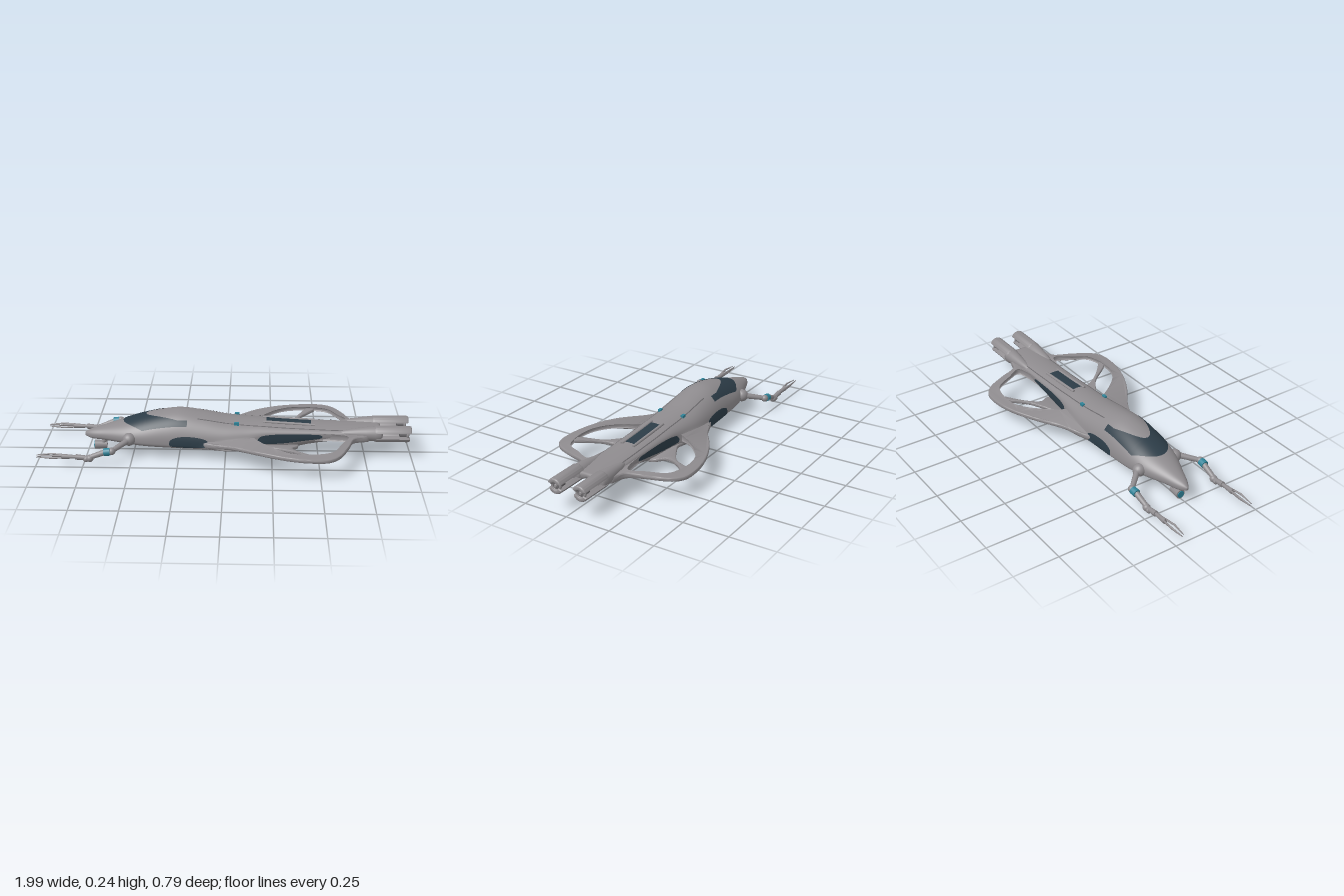
import * as THREE from 'three';
import { mergeVertices, toCreasedNormals } from 'three/addons/utils/BufferGeometryUtils.js';

const paint = (name, color) => {
  const m = new THREE.MeshStandardMaterial({ color, side: THREE.DoubleSide });
  m.name = name;
  return m;
};
const V = (x, y, z) => new THREE.Vector3(x, y, z);
const { smoothstep, clamp } = THREE.MathUtils;

// Hull stations along x: half width, top, widest height, bottom
const STATIONS = [
  [-0.765, 0.008, 0.1, 0.09, 0.08], [-0.74, 0.026, 0.114, 0.09, 0.07], [-0.66, 0.06, 0.14, 0.097, 0.066],
  [-0.53, 0.112, 0.18, 0.1, 0.06], [-0.45, 0.13, 0.205, 0.095, 0.055], [-0.31, 0.138, 0.236, 0.089, 0.048],
  [-0.24, 0.139, 0.242, 0.088, 0.045], [-0.12, 0.14, 0.226, 0.09, 0.04], [0.01, 0.135, 0.202, 0.102, 0.034],
  [0.12, 0.12, 0.191, 0.117, 0.016], [0.2, 0.108, 0.186, 0.13, 0.01], [0.3, 0.1, 0.178, 0.135, 0.02],
  [0.44, 0.095, 0.171, 0.135, 0.058], [0.65, 0.093, 0.162, 0.135, 0.09], [0.78, 0.106, 0.159, 0.135, 0.106],
  [0.83, 0.108, 0.157, 0.135, 0.113],
];
const profile = new THREE.CubicInterpolant(STATIONS.map((s) => s[0]), STATIONS.flatMap((s) => s.slice(1)), 4);
const bell = (x, mid, width) => Math.exp(-(((x - mid) / width) ** 2));

// Point on the hull; angle a runs from the top (0) over the +z flank to the keel (PI)
function hullPoint(x, a, lift = 0) {
  const [w, top, mid, bot] = profile.evaluate(x);
  const c = Math.cos(a), s = Math.sin(a), turn = Math.abs(a > Math.PI ? a - 2 * Math.PI : a);
  // Fairing that spreads the lower flank into the wing root
  const flare = Math.sign(s) * 0.05 * bell(x, 0.03, 0.11) * bell(turn, 1.9, turn > 1.9 ? 0.4 : 0.25);
  if (c >= 0) return V(x, mid + (top - mid + lift) * c, (w + lift) * s + flare);
  const z = (w + lift) * Math.sign(s) * Math.abs(s) ** 0.75;
  const groove = 0.03 * smoothstep(x, 0, 0.16) * (1 - 0.4 * smoothstep(x, 0.5, 0.83)) * bell(z, 0, 0.028);
  return V(x, mid - (mid - bot + lift) * Math.abs(c) ** 0.75 + groove * Math.abs(c), z + flare);
}

function surface(points, index) {
  const g = new THREE.BufferGeometry().setFromPoints(points);
  g.setIndex(index);
  g.computeVertexNormals();
  return g;
}

function hullGeometry() {
  const nx = 110, na = 64, points = [], index = [];
  for (let i = 0; i <= nx; i++) {
    for (let j = 0; j < na; j++) points.push(hullPoint(-0.765 + (1.595 * i) / nx, (j / na) * Math.PI * 2));
  }
  for (let i = 0; i < nx; i++) {
    for (let j = 0; j < na; j++) {
      const a = i * na + j, b = i * na + ((j + 1) % na);
      index.push(a, b, a + na, b, b + na, a + na);
    }
  }
  const nose = points.push(V(-0.768, 0.09, 0)) - 1, tail = points.push(V(0.83, 0.145, 0)) - 1;
  for (let j = 0; j < na; j++) {
    const k = (j + 1) % na;
    index.push(nose, k, j, tail, nx * na + j, nx * na + k);
  }
  return surface(points, index);
}

// Thin plate hugging the hull between two angle limits that vary with x
function patch(x0, x1, from, to, lift = 0.003, nx = 50, na = 12) {
  const points = [], index = [];
  for (let i = 0; i <= nx; i++) {
    const x = x0 + ((x1 - x0) * i) / nx, a0 = from(x), a1 = to(x);
    for (let j = 0; j <= na; j++) points.push(hullPoint(x, a0 + ((a1 - a0) * j) / na, lift));
  }
  for (let i = 0; i < nx; i++) {
    for (let j = 0; j < na; j++) {
      const a = i * (na + 1) + j, b = a + na + 1;
      index.push(a, a + 1, b, a + 1, b + 1, b);
    }
  }
  return surface(points, index);
}
// Hull angle at which the upper skin reaches the given z
const angleAt = (x, z) => Math.asin(Math.min(1, z / profile.evaluate(x)[0]));
const oval = (x, x0, x1) => Math.sqrt(Math.max(0, 1 - ((2 * x - x0 - x1) / (x1 - x0)) ** 2)) ** 0.7;

// Rounded plate from a smooth plan outline of [x, z] points, its height set by a rule
function plateGeometry(outline, windows, height) {
  const loop = (list) => new THREE.CatmullRomCurve3(list.map(([x, z]) => V(x, z, 0)), true, 'centripetal')
    .getPoints(90).slice(0, -1).map((p) => new THREE.Vector2(p.x, p.y));
  const shape = new THREE.Shape(loop(outline));
  shape.holes = windows.map((w) => new THREE.Path(loop(w)));
  const g = new THREE.ExtrudeGeometry(shape, {
    depth: 0.006, bevelEnabled: true, bevelThickness: 0.008, bevelSize: 0.006, bevelOffset: -0.006, bevelSegments: 4,
  });
  g.translate(0, 0, -0.003).rotateX(Math.PI / 2);
  const p = g.attributes.position;
  for (let i = 0; i < p.count; i++) p.setY(i, height(p.getX(i), p.getY(i), p.getZ(i)));
  g.deleteAttribute('normal');
  g.deleteAttribute('uv');
  return toCreasedNormals(mergeVertices(g, 1e-5), 0.7);
}

// Wing frame: droops to the tip, dips at the leading root, thicker underneath near the hull
const wingGeometry = () => plateGeometry(
  [[-0.2, 0.09], [-0.13, 0.137], [-0.05, 0.172], [0.03, 0.21], [0.165, 0.3], [0.3, 0.362], [0.43, 0.391], [0.54, 0.386],
    [0.597, 0.343], [0.65, 0.235], [0.69, 0.135], [0.77, 0.1], [0.75, 0.06], [0.3, 0.06], [-0.1, 0.06]],
  [[[0.15, 0.105], [0.18, 0.175], [0.27, 0.28], [0.35, 0.328], [0.45, 0.338], [0.565, 0.305], [0.62, 0.21], [0.66, 0.12],
    [0.5, 0.085], [0.3, 0.085]]],
  (x, y, z) => {
    const dip = 0.035 * (1 - smoothstep(x, -0.1, 0.35)) * clamp((0.36 - z) / 0.2, 0, 1);
    const thick = y < 0 ? 1 + 1.5 * clamp((0.2 - z) / 0.1, 0, 1) : 1;
    return 0.127 - 0.06 * (z - 0.12) - dip + y * thick;
  },
);

// Low gusset with a strut that rises from the lower flank to the wing tip
const gussetGeometry = () => plateGeometry(
  [[0.08, 0.07], [0.13, 0.125], [0.19, 0.124], [0.25, 0.152], [0.32, 0.192], [0.37, 0.23], [0.455, 0.345], [0.5, 0.345],
    [0.42, 0.262], [0.375, 0.2], [0.36, 0.15], [0.39, 0.1], [0.38, 0.05], [0.2, 0.05]],
  [],
  (x, y, z) => 0.069 + 0.17 * (z - 0.12) + y * 0.9,
);

// Curved blade of an engine pod, bent around the pod's axis
function bladeGeometry(start, end, length) {
  const s = new THREE.Shape();
  s.absarc(0, 0, 0.04, start, end, false);
  s.absarc(0, 0, 0.02, end, start, true);
  const g = new THREE.ExtrudeGeometry(s, {
    depth: length, bevelEnabled: true, bevelThickness: 0.012, bevelSize: 0.006, bevelOffset: -0.004, bevelSegments: 4, curveSegments: 16,
  });
  return toCreasedNormals(g.rotateY(Math.PI / 2), 0.6);
}

export function createModel() {
  const gray = paint('hull gray', 0x8e8b8e);
  const dark = paint('joint gray', 0x676568);
  const glass = paint('dark glass', 0x2c3c47);
  const teal = paint('teal', 0x2f8398);
  const model = new THREE.Group();
  model.name = 'spacecraft';

  const add = (parent, name, geometry, material, x = 0, y = 0, z = 0) => {
    const m = new THREE.Mesh(geometry, material);
    m.name = name;
    m.position.set(x, y, z);
    parent.add(m);
    return m;
  };
  const ball = (parent, name, p, r, material) => add(parent, name, new THREE.SphereGeometry(r, 20, 14), material, ...p);
  // Tapered cylinder from p to q
  const rod = (parent, name, p, q, r0, r1, material) => {
    const a = V(...p), b = V(...q), d = b.clone().sub(a);
    const m = add(parent, name, new THREE.CylinderGeometry(r1, r0, d.length(), 18), material);
    m.position.copy(a).add(b).multiplyScalar(0.5);
    m.quaternion.setFromUnitVectors(V(0, 1, 0), d.normalize());
  };

  add(model, 'hull', hullGeometry(), gray);
  add(model, 'spineVent', patch(0.22, 0.46, (x) => -angleAt(x, 0.028), (x) => angleAt(x, 0.028)), glass);

  // Chin sensor
  rod(model, 'chinMount', [-0.64, 0.08, 0], [-0.68, 0.03, 0], 0.016, 0.014, gray);
  rod(model, 'chinSensor', [-0.65, 0.026, 0], [-0.715, 0.026, 0], 0.02, 0.026, gray);
  rod(model, 'chinLens', [-0.715, 0.026, 0], [-0.719, 0.026, 0], 0.019, 0.019, teal);

  for (const side of [1, -1]) {
    const half = new THREE.Group();
    half.name = side > 0 ? 'leftSide' : 'rightSide';
    half.scale.z = side;
    model.add(half);

    // Horseshoe canopy, flank windows, spine seam and vent rail
    const outer = (x) => angleAt(x, 0.112 * Math.min(1, Math.sqrt(Math.max(0, (x + 0.555) / 0.11))));
    const inner = (x) => Math.min(outer(x), angleAt(x, 0.088 * Math.min(1, Math.sqrt(Math.max(0, (x + 0.43) / 0.17)))));
    add(half, 'canopy', patch(-0.555, -0.205, inner, outer, 0.002, 70), glass);
    const lens = (x0, x1, mid, up, down) => patch(x0, x1, (x) => mid - up * oval(x, x0, x1), (x) => mid + down * oval(x, x0, x1));
    add(half, 'sideWindow', lens(-0.3, -0.09, 1.55, 0.27, 0.3), glass);
    add(half, 'flankWindow', lens(0.17, 0.52, 1.68, 0.2, 0.22), glass);
    add(half, 'seam', patch(-0.15, 0.75, (x) => angleAt(x, 0.071), (x) => angleAt(x, 0.076), 0.002, 60, 2), dark);
    rod(half, 'ventRail', [0.2, 0.184, 0.035], [0.48, 0.167, 0.035], 0.008, 0.008, gray);
    add(half, 'marker', new THREE.BoxGeometry(0.026, 0.018, 0.016), teal, 0.06, 0.183, 0.072);

    add(half, 'wing', wingGeometry(), gray);
    add(half, 'gusset', gussetGeometry(), gray);

    // Engine pod: tapered nacelle, split shroud and nozzle
    const y = 0.137, z = 0.073;
    const nacelle = [[0, 0], [0.012, 0.01], [0.025, 0.07], [0.036, 0.15], [0.041, 0.2], [0.04, 0.225], [0.03, 0.238], [0, 0.242]];
    add(half, 'nacelle', new THREE.LatheGeometry(nacelle.map(([r, h]) => new THREE.Vector2(r, h)), 28), gray, 0.6, y, z).rotation.z = -Math.PI / 2;
    add(half, 'upperShroud', bladeGeometry(0.4, Math.PI - 0.4, 0.172), gray, 0.808, y + 0.002, z);
    add(half, 'lowerShroud', bladeGeometry(Math.PI + 0.4, 2 * Math.PI - 0.4, 0.164), gray, 0.808, y - 0.002, z);
    rod(half, 'nozzleCore', [0.93, y, z], [0.975, y, z], 0.022, 0.024, dark);
    add(half, 'nozzleRim', new THREE.TorusGeometry(0.024, 0.007, 10, 28), gray, 0.972, y, z).rotation.y = Math.PI / 2;
    rod(half, 'nozzleCone', [0.97, y, z], [0.982, y, z], 0.013, 0.007, gray);

    // Manipulator arm
    const arm = new THREE.Group();
    arm.name = 'arm';
    half.add(arm);
    ball(arm, 'shoulder', [-0.515, 0.105, 0.113], 0.035, gray);
    rod(arm, 'upperArm', [-0.52, 0.105, 0.13], [-0.595, 0.082, 0.215], 0.016, 0.013, gray);
    ball(arm, 'elbow', [-0.597, 0.08, 0.218], 0.02, gray);
    rod(arm, 'elbowBand', [-0.605, 0.078, 0.218], [-0.638, 0.074, 0.217], 0.021, 0.021, teal);
    rod(arm, 'forearm', [-0.63, 0.075, 0.216], [-0.715, 0.042, 0.213], 0.016, 0.013, gray);
    ball(arm, 'wrist', [-0.715, 0.036, 0.213], 0.02, gray);
    rod(arm, 'hand', [-0.71, 0.036, 0.213], [-0.79, 0.043, 0.212], 0.012, 0.015, gray);
    ball(arm, 'knuckle', [-0.735, 0.032, 0.213], 0.017, gray);
    rod(arm, 'palm', [-0.785, 0.043, 0.212], [-0.865, 0.045, 0.212], 0.009, 0.014, gray);
    for (const [dy, dz] of [[0.007, 0.011], [0.007, -0.011], [-0.009, 0]]) {
      const bend = [-0.92, 0.045 + dy * 1.2, 0.212 + dz * 1.2];
      rod(arm, 'finger', [-0.86, 0.045 + dy * 0.8, 0.212 + dz * 0.7], bend, 0.005, 0.005, gray);
      rod(arm, 'fingertip', bend, [-1, 0.045 + dy * 0.6, 0.212 + dz * 0.6], 0.005, 0.002, gray);
    }
  }
  return model;
}
